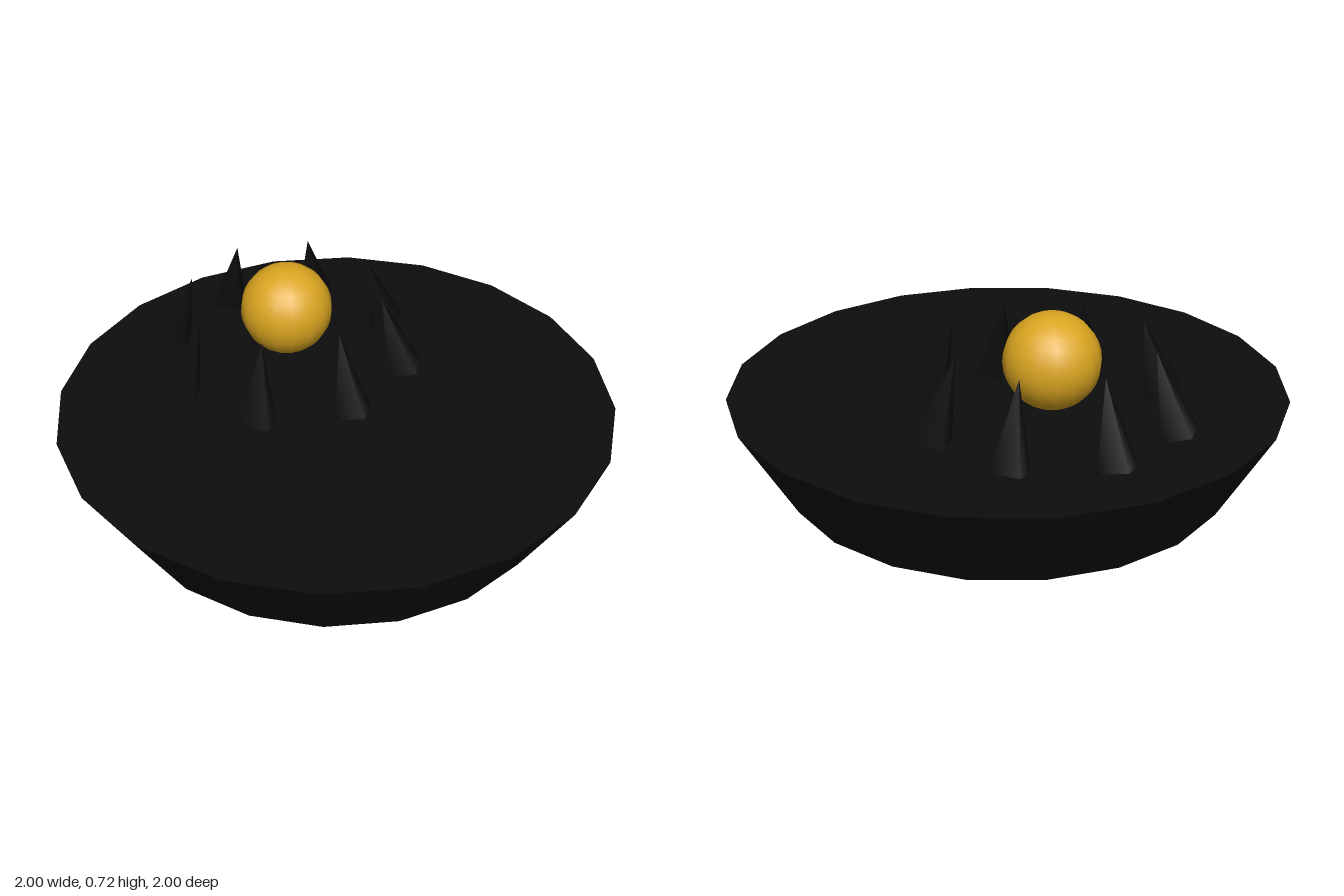
import * as THREE from 'three';

export function createModel() {
  const model = new THREE.Group();
  const black = new THREE.MeshStandardMaterial({ color: 0x0d0d0d });
  black.name = 'black';
  const gold = new THREE.MeshStandardMaterial({ color: 0xdaa520 });
  gold.name = 'gold';

  const add = (name, geometry, material, x, y, z) => {
    const mesh = new THREE.Mesh(geometry, material);
    mesh.name = name;
    mesh.position.set(x, y, z);
    model.add(mesh);
    return mesh;
  };

  // Tapered dish-shaped base
  const top = 0.333;
  add('base', new THREE.CylinderGeometry(1, 0.807, top, 20), black, 0, top / 2, 0);

  // Floating orb, set towards the back
  const centreZ = -0.333;
  add('orb', new THREE.SphereGeometry(0.168, 16, 16), gold, 0, 0.548, centreZ);

  // Ring of four-sided spikes leaning in towards the orb
  const spikeGeometry = new THREE.ConeGeometry(0.075, 0.3, 4);
  const ring = 0.4, lean = 0.3;
  for (let i = 0; i < 8; i++) {
    const a = (i / 8) * Math.PI * 2;
    const c = Math.cos(a), s = Math.sin(a);
    const spike = add('spike' + (i + 1), spikeGeometry, black, c * ring, top + 0.15, centreZ + s * ring);
    spike.rotation.set(-s * lean, 0, c * lean);
  }
  return model;
}
